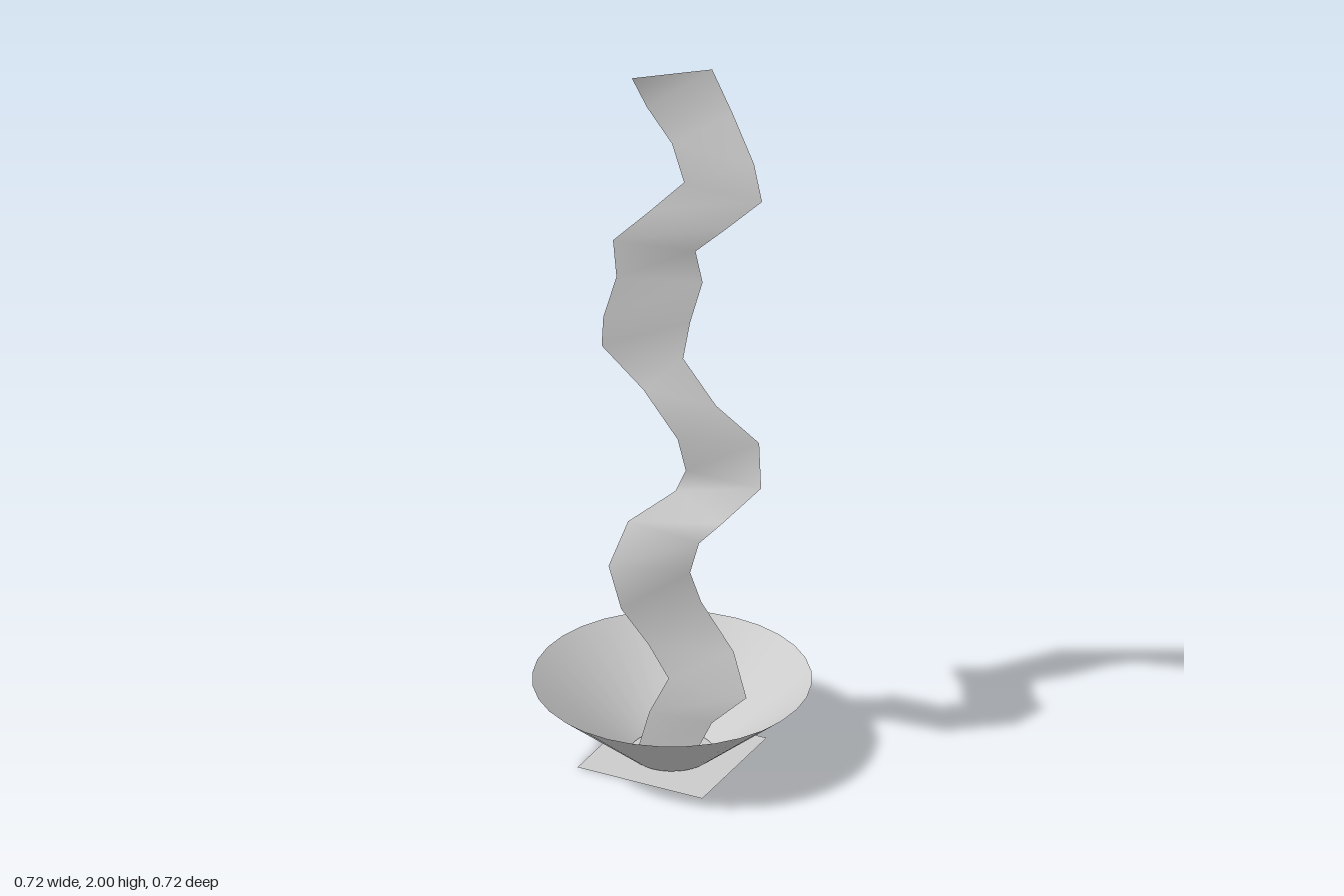
import * as THREE from 'three';

const material = new THREE.MeshStandardMaterial({ color: 0xcccccc, side: THREE.DoubleSide });

function addPart(group, name, geometry, y = 0) {
  const mesh = new THREE.Mesh(geometry, material);
  mesh.name = name;
  mesh.position.y = y;
  group.add(mesh);
}

// Rows of the ribbon from top to bottom: [xRight, zRight, xLeft, zLeft]
const ribbonRows = [
  [-0.085, 0.06, 0.085, -0.06],
  [-0.06, 0.025, 0.152, -0.045],
  [0.0, 0, 0.237, 0],
  [0.035, 0, 0.26, 0],
  [-0.06, 0, 0.158, 0],
  [-0.16, 0.02, 0.055, -0.025],
  [-0.15, 0.02, 0.06, -0.055],
  [-0.17, 0.055, 0.042, -0.02],
  [-0.19, 0.025, 0.027, -0.01],
  [-0.075, 0.015, 0.13, 0.005],
  [0.037, 0.04, 0.232, -0.038],
  [0.045, 0.01, 0.26, 0.005],
  [-0.016, -0.05, 0.17, 0.052],
  [-0.137, -0.02, 0.078, 0],
  [-0.16, 0.045, 0.042, -0.02],
  [-0.113, 0.065, 0.052, -0.063],
  [-0.053, 0.03, 0.16, -0.035],
  [-0.01, 0, 0.215, 0],
  [-0.06, 0.01, 0.11, -0.01],
  [-0.09, 0.01, 0.06, -0.01],
];

// Thin twisting strip, two vertices per row
function ribbonGeometry() {
  const segments = ribbonRows.length - 1;
  const geometry = new THREE.PlaneGeometry(1, 1, 1, segments);
  const position = geometry.attributes.position;
  ribbonRows.forEach(([xa, za, xb, zb], i) => {
    const y = 2 - 0.105 * i;
    position.setXYZ(2 * i, xa, i ? y : 1.99, za);
    position.setXYZ(2 * i + 1, xb, y, zb);
  });
  geometry.computeVertexNormals();
  return geometry;
}

export function createModel() {
  const group = new THREE.Group();
  group.name = 'bowlWithRisingRibbon';

  // Flat square under the bowl
  addPart(group, 'basePlate', new THREE.PlaneGeometry(0.36, 0.36).rotateX(-Math.PI / 2));

  // Flared bowl, open at both ends
  addPart(group, 'bowl', new THREE.CylinderGeometry(0.36, 0.108, 0.213, 32, 1, true), 0.1115);

  // Wavering strip rising from the bowl
  addPart(group, 'ribbon', ribbonGeometry());

  return group;
}
